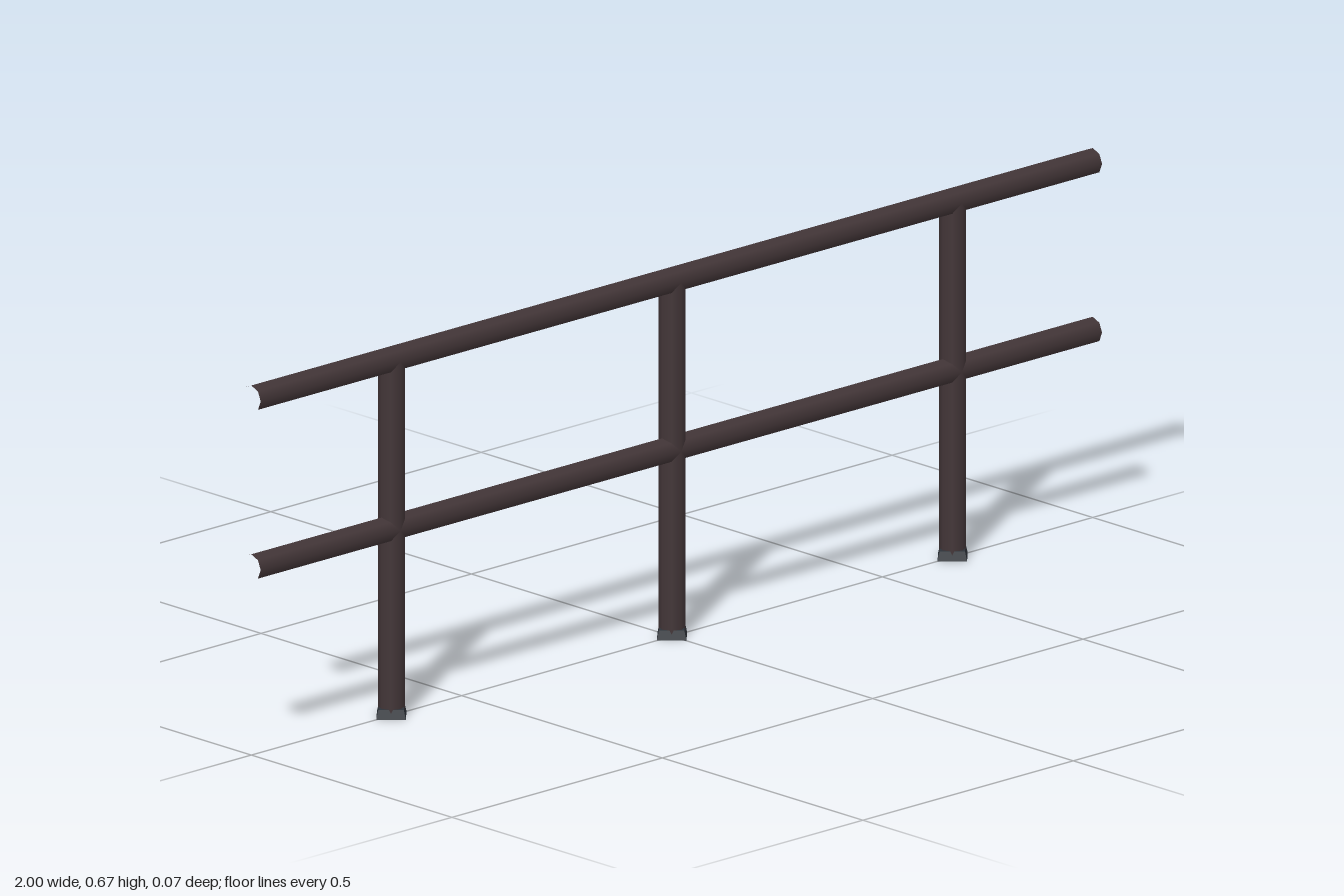
import * as THREE from 'three';

const RADIUS = 0.0234;
const TOP_Y = 0.642;
const MID_Y = 0.338;
const SIDES = 8;

export function createModel() {
  const group = new THREE.Group();
  const railPaint = new THREE.MeshStandardMaterial({ color: 0x423537 });
  railPaint.name = 'dark brown paint';
  const footMetal = new THREE.MeshStandardMaterial({ color: 0x2c3239 });
  footMetal.name = 'blue grey metal';

  const add = (name, geometry, material, x, y) => {
    const mesh = new THREE.Mesh(geometry, material);
    mesh.name = name;
    mesh.position.set(x, y, 0);
    group.add(mesh);
  };

  // Horizontal rails: open-ended pipes along x
  const rail = new THREE.CylinderGeometry(RADIUS, RADIUS, 2, SIDES, 1, true).rotateZ(Math.PI / 2);
  add('topRail', rail, railPaint, 0, TOP_Y);
  add('middleRail', rail, railPaint, 0, MID_Y);

  // Posts run up to the centre of the top rail, each on a tapered four-sided foot
  const post = new THREE.CylinderGeometry(RADIUS, RADIUS, TOP_Y, SIDES, 1, true);
  const foot = new THREE.CylinderGeometry(0.031, 0.036, 0.017, 4).toNonIndexed();
  foot.computeVertexNormals();
  [['right', -0.667], ['centre', 0], ['left', 0.667]].forEach(([side, x]) => {
    add(side + 'Post', post, railPaint, x, TOP_Y / 2);
    add(side + 'Foot', foot, footMetal, x, 0.0085);
  });

  return group;
}
